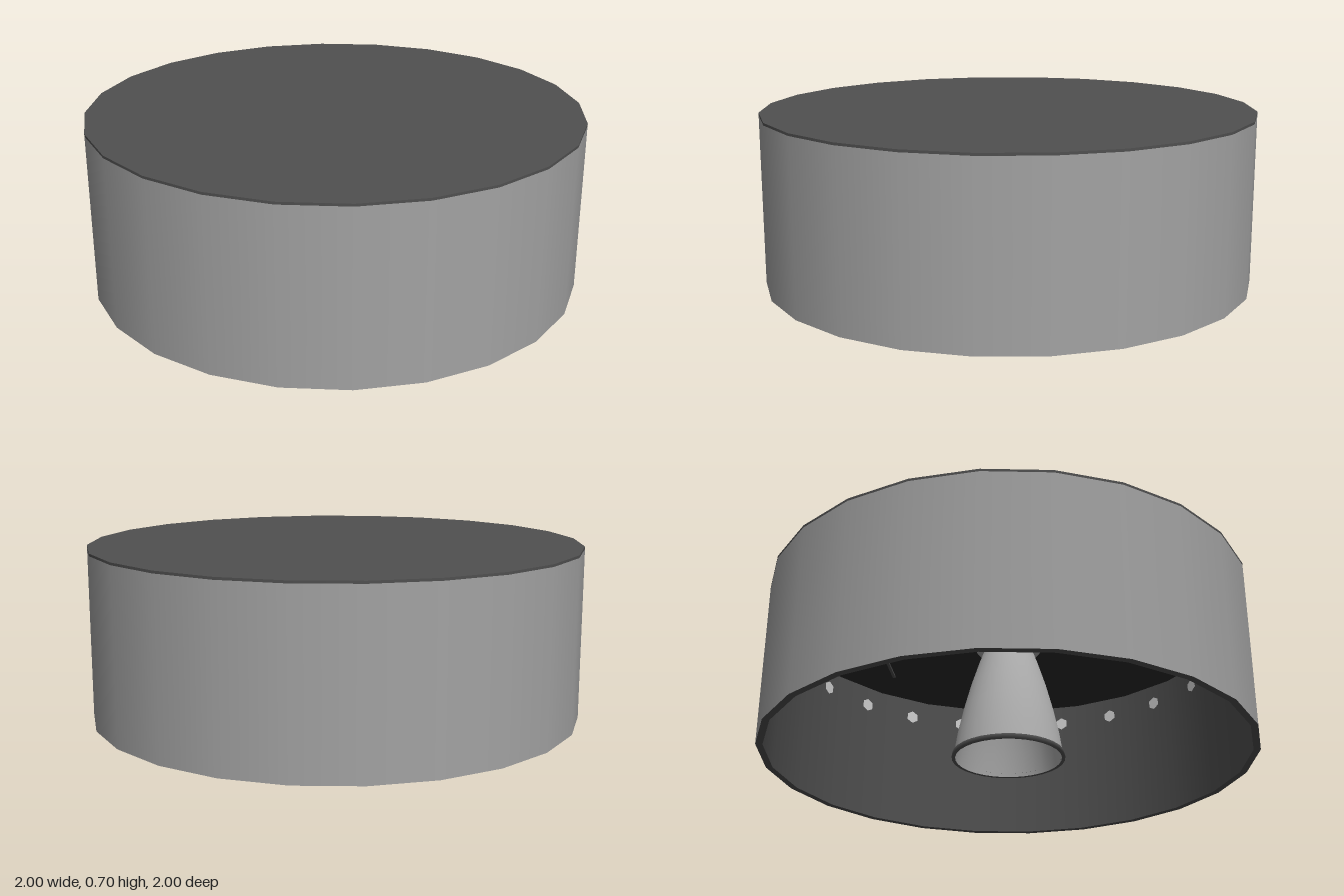
import * as THREE from 'three';

const mat = (name, color, side = THREE.FrontSide) => {
  const m = new THREE.MeshStandardMaterial({ color, side });
  m.name = name;
  return m;
};

export function createModel() {
  const model = new THREE.Group();
  const hullGrey = mat('hull grey', 0xa3a3a3);
  const darkGrey = mat('dark grey', 0x505050, THREE.DoubleSide);
  const charcoal = mat('charcoal', 0x2c2c2c);
  const nozzleGrey = mat('nozzle grey', 0xb0b0b0, THREE.DoubleSide);
  const lightGrey = mat('light grey', 0xcfcfcf, THREE.DoubleSide);
  const boxGrey = mat('equipment grey', 0x5a5a5a);

  const add = (name, geometry, material, x = 0, y = 0, z = 0) => {
    const mesh = new THREE.Mesh(geometry, material);
    mesh.name = name;
    mesh.position.set(x, y, z);
    model.add(mesh);
    return mesh;
  };
  const lathe = (points, sides) =>
    new THREE.LatheGeometry(points.map(([r, y]) => new THREE.Vector2(r, y)), sides);

  // Drum: outer skin, lid, inner skin and bottom rim
  const SIDES = 24, INNER = 0.972;
  add('outerSkin', new THREE.CylinderGeometry(1, 1, 0.69, SIDES, 1, true), hullGrey, 0, 0.345);
  add('lid', new THREE.CylinderGeometry(1, 1, 0.01, SIDES), darkGrey, 0, 0.695);
  add('innerSkin', new THREE.CylinderGeometry(INNER, INNER, 0.64, SIDES, 1, true), darkGrey, 0, 0.32);
  const rim = new THREE.RingGeometry(INNER, 1, SIDES);
  rim.rotateX(Math.PI / 2);
  add('bottomRim', rim, darkGrey);

  // Ceiling inside the drum and the raised mount in its middle
  add('ceiling', new THREE.CylinderGeometry(INNER, INNER, 0.03, SIDES), charcoal, 0, 0.645);
  add('engineMount', new THREE.CylinderGeometry(0.33, 0.28, 0.06, 32), charcoal, 0, 0.6);
  add('engineMountStep', new THREE.CylinderGeometry(0.25, 0.16, 0.06, 32), charcoal, 0, 0.55);

  // Engine bell with collar and dark lip
  add('engineCollar', new THREE.CylinderGeometry(0.14, 0.135, 0.035, 32), nozzleGrey, 0, 0.505);
  add('engineBell', lathe([
    [0.222, 0.0], [0.207, 0.1], [0.183, 0.21], [0.154, 0.32], [0.122, 0.42], [0.095, 0.495],
  ], 32), nozzleGrey);
  add('bellLip', lathe([
    [0.215, 0], [0.229, 0], [0.227, 0.018], [0.219, 0.018],
  ], 32), darkGrey);

  // Raised panels along the side of the ceiling
  for (const [x, z, w, d] of [[-0.645, 0.02, 0.26, 0.26], [-0.63, 0.3, 0.23, 0.2]]) {
    add('ceilingPanel', new THREE.BoxGeometry(w, 0.035, d), charcoal, x, 0.614, z);
    add('panelEdge', new THREE.BoxGeometry(0.008, 0.03, d), boxGrey, x + w / 2 + 0.004, 0.614, z);
    add('panelEdge', new THREE.BoxGeometry(w, 0.03, 0.008), boxGrey, x, 0.614, z - d / 2 - 0.004);
  }

  // Thin ceiling ribs and the hanging equipment box
  for (const side of [-1, 1]) {
    add('ceilingRib', new THREE.BoxGeometry(1, 0.012, 0.012), darkGrey, 0, 0.626, side * 0.59);
  }
  add('equipmentBox', new THREE.BoxGeometry(0.1, 0.13, 0.1), boxGrey, -0.19, 0.565, 0.56);

  // Ring of small six-sided plates on the inner wall
  for (let i = 0; i < SIDES; i++) {
    const a = THREE.MathUtils.degToRad(i * 15 + 5);
    const r = 0.96;
    const plate = add('wallPlate', new THREE.CircleGeometry(0.03, 6), lightGrey,
      Math.sin(a) * r, 0.54, Math.cos(a) * r);
    plate.rotation.set(0, a + Math.PI, Math.PI / 2);
  }
  return model;
}
